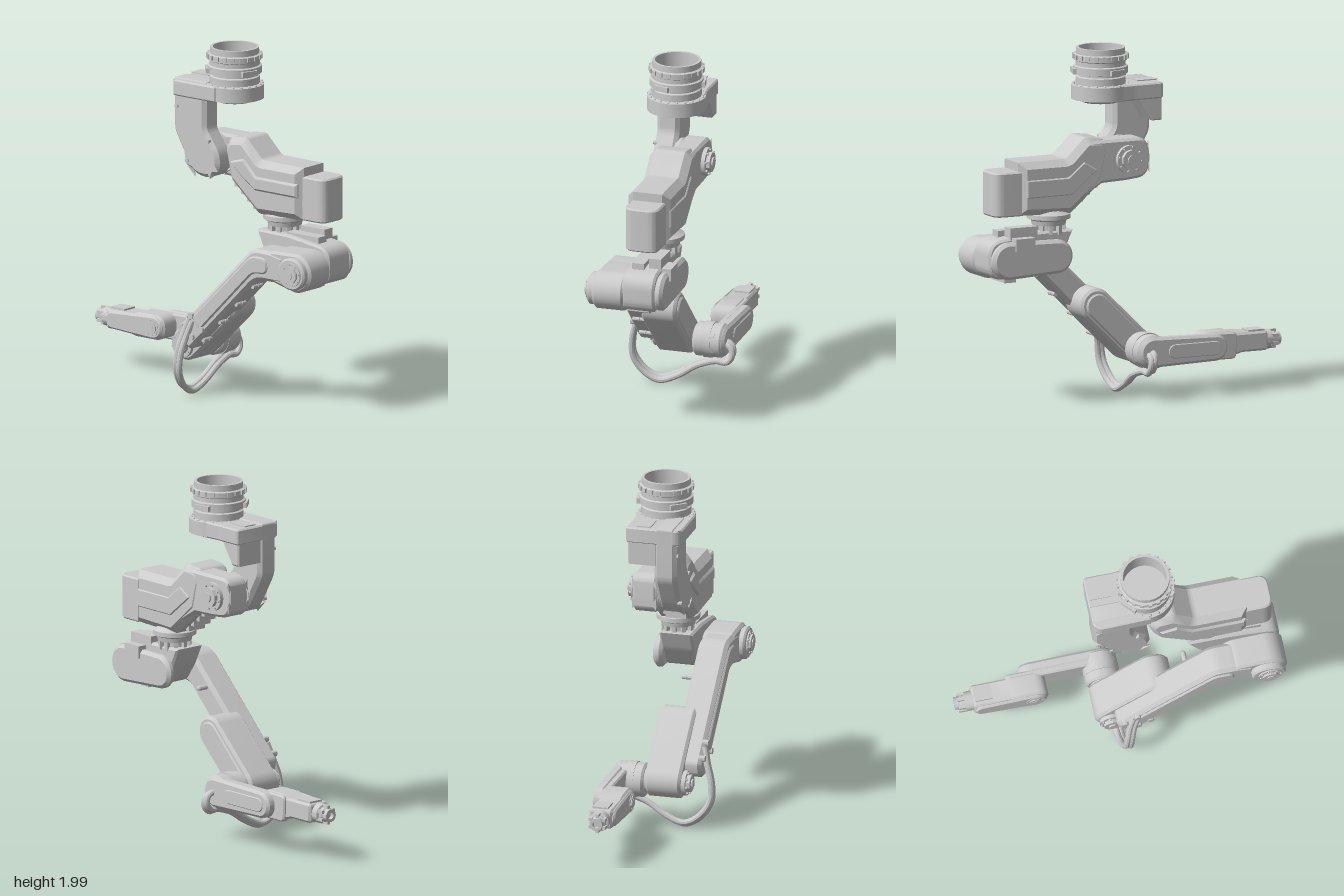
import * as THREE from 'three';
import { toCreasedNormals } from 'three/addons/utils/BufferGeometryUtils.js';

const mat = new THREE.MeshStandardMaterial({ color: 0xcccccc, side: THREE.DoubleSide });

function add(parent, name, geo, x = 0, y = 0, z = 0) {
  const m = new THREE.Mesh(toCreasedNormals(geo, 0.6), mat);
  m.name = name;
  m.position.set(x, y, z);
  parent.add(m);
  return m;
}

// Closed outline from [x, y, cornerCut] points, corners rounded
function outline(pts) {
  const s = new THREE.Shape();
  pts.forEach(([x, y, r = 0], i) => {
    const c = new THREE.Vector2(x, y);
    const p = new THREE.Vector2(...pts.at(i - 1).slice(0, 2));
    const n = new THREE.Vector2(...pts[(i + 1) % pts.length].slice(0, 2));
    const a = c.clone().add(p.sub(c).setLength(r));
    const b = c.clone().add(n.sub(c).setLength(r));
    i ? s.lineTo(a.x, a.y) : s.moveTo(a.x, a.y);
    if (r) s.quadraticCurveTo(x, y, b.x, b.y);
  });
  return s;
}

// Two circles joined by their outer tangents
function link(x1, y1, r1, x2, y2, r2) {
  const dir = Math.atan2(y2 - y1, x2 - x1);
  const t = Math.acos((r1 - r2) / Math.hypot(x2 - x1, y2 - y1));
  const s = new THREE.Shape();
  s.absarc(x1, y1, r1, dir + t, dir - t + Math.PI * 2, false);
  s.absarc(x2, y2, r2, dir - t, dir + t, false);
  return s;
}

// Outline extruded from z0 to z1 with bevelled rims
function slab(parent, name, shape, z0, z1, bevel = 0.012) {
  const geo = new THREE.ExtrudeGeometry(shape, {
    depth: z1 - z0 - 2 * bevel, bevelEnabled: bevel > 0, bevelSize: bevel, bevelThickness: bevel,
    bevelOffset: -bevel, bevelSegments: 1, curveSegments: 14,
  });
  return add(parent, name, geo, 0, 0, z0 + bevel);
}

const box = (p, name, x0, x1, y0, y1, z0, z1) =>
  add(p, name, new THREE.BoxGeometry(x1 - x0, y1 - y0, z1 - z0), (x0 + x1) / 2, (y0 + y1) / 2, (z0 + z1) / 2);

// Turned part about a vertical axis, profile as [radius, y]
const turned = (p, name, pts, x, z) =>
  add(p, name, new THREE.LatheGeometry(pts.map(q => new THREE.Vector2(...q)), 40), x, 0, z);

// Disc along z
function disc(p, name, x, y, r, z0, z1, sides = 32) {
  const geo = new THREE.CylinderGeometry(r, r, z1 - z0, sides).rotateX(Math.PI / 2);
  return add(p, name, geo, x, y, (z0 + z1) / 2);
}

// Hub cap with stepped rings and a circle of bolts, pushed out towards dir
function hubCap(p, name, x, y, r, z, h, dir) {
  const g = new THREE.Group();
  g.name = name;
  const put = (part, px, py, rad, a, b, sides) =>
    disc(g, part, px, py, rad, Math.min(z + dir * a, z + dir * b), Math.max(z + dir * a, z + dir * b), sides);
  put('capRing', x, y, r, -0.01, h * 0.5, 32);
  put('capFace', x, y, r * 0.72, 0, h, 10);
  put('capCentre', x, y, r * 0.35, 0, h * 1.2, 16);
  for (let i = 0; i < 8; i++) {
    const a = i * Math.PI / 4 + 0.2;
    put('capBolt', x + Math.cos(a) * r * 0.86, y + Math.sin(a) * r * 0.86, r * 0.09, 0, h * 0.75, 8);
  }
  p.add(g);
}

export function createModel() {
  const root = new THREE.Group();
  root.name = 'robotArm';
  const part = name => {
    const g = new THREE.Group();
    g.name = name;
    root.add(g);
    return g;
  };

  // Hollow mounting collar at the top
  const collar = part('mountCollar');
  const bx = 0.15, bz = -0.02;
  turned(collar, 'collarBody', [[0, 1.69], [0.1, 1.69], [0.13, 1.705], [0.165, 1.71], [0.165, 1.79], [0.14, 1.795],
    [0.14, 1.835], [0.128, 1.84], [0.128, 1.85], [0.152, 1.855], [0.152, 1.895], [0.14, 1.9], [0.14, 1.925],
    [0.15, 1.93], [0.15, 1.96], [0.137, 1.965], [0.137, 2], [0.122, 2], [0.122, 1.86], [0, 1.86]], bx, bz);
  for (let i = 0; i < 20; i++) {
    const a = i * Math.PI / 10;
    const tooth = add(collar, 'collarTooth', new THREE.BoxGeometry(0.02, 0.025, 0.022),
      bx + Math.cos(a) * 0.148, 1.95, bz + Math.sin(a) * 0.148);
    tooth.rotation.y = -a;
    add(collar, 'collarBolt', new THREE.SphereGeometry(0.009, 8, 6),
      bx + Math.cos(a) * 0.152, 1.792, bz + Math.sin(a) * 0.152);
  }
  for (let i = 0; i < 3; i++) {
    const a = i * 2.1 + 0.3;
    const lug = add(collar, 'collarLug', new THREE.BoxGeometry(0.02, 0.03, 0.1),
      bx + Math.cos(a) * 0.153, 1.87, bz + Math.sin(a) * 0.153);
    lug.rotation.y = -a;
  }

  // Shoulder bracket: top plate, dropped leg and rounded pivot end
  const bracket = part('shoulderBracket');
  const plate = slab(bracket, 'bracketPlate', outline([[-0.175, -0.12, 0.03], [-0.14, -0.15, 0.02], [0.15, -0.145],
    [0.15, 0.185], [0, 0.17, 0.02], [-0.175, 0.17, 0.02]]), 0, 0.09, 0.008);
  plate.rotation.x = -Math.PI / 2;
  plate.position.y = 1.713;
  slab(bracket, 'bracketLeg', outline([[-0.175, 1.8, 0.01], [-0.175, 1.5, 0.03], [-0.065, 1.31, 0.05],
    [-0.02, 1.265, 0.05], [0.09, 1.255, 0.05], [0.155, 1.31, 0.05], [0.145, 1.41, 0.04], [0.055, 1.53, 0.03],
    [0.055, 1.8]]), 0, 0.13, 0.022);
  slab(bracket, 'bracketRib', outline([[-0.17, 1.75], [-0.17, 1.58], [-0.11, 1.58], [-0.02, 1.72]]), -0.15, 0.02, 0.008);
  slab(bracket, 'bracketPivot', link(0.03, 1.38, 0.11, 0.04, 1.37, 0.11), -0.02, 0.01, 0);
  box(bracket, 'bracketSensor', -0.075, -0.055, 1.735, 1.77, 0.1, 0.135);
  box(bracket, 'plateInset', -0.165, -0.04, 1.8, 1.806, -0.1, -0.02);
  for (const [x, y] of [[-0.145, 1.64], [0.08, 1.47], [-0.07, 1.34]]) disc(bracket, 'bracketBolt', x, y, 0.012, 0.11, 0.137, 12);

  // Upper arm: pivot hub at the back, bent faceted shell
  const upper = part('upperArm');
  slab(upper, 'upperArmHub', outline([[-0.09, 1.38, 0.07], [-0.08, 1.49, 0.06], [0.06, 1.49, 0.04], [0.3, 1.49],
    [0.36, 1.16], [0.2, 1.25], [0.05, 1.255, 0.04], [-0.09, 1.27, 0.07]]), -0.15, -0.01, 0.015);
  slab(upper, 'upperArmShell', outline([[0.15, 1.43, 0.02], [0.19, 1.5, 0.02], [0.3, 1.512, 0.02], [0.415, 1.4, 0.02],
    [0.715, 1.4], [0.715, 1.1], [0.39, 1.09, 0.02], [0.19, 1.26, 0.02]]), -0.155, 0.09, 0.038);
  slab(upper, 'upperArmSidePanel', outline([[0.21, 1.37], [0.31, 1.4], [0.4, 1.31], [0.7, 1.31], [0.7, 1.23],
    [0.39, 1.23], [0.3, 1.29]]), 0.07, 0.102, 0.012);
  slab(upper, 'upperArmBackPanel', outline([[0.24, 1.33], [0.4, 1.2], [0.68, 1.2], [0.68, 1.3], [0.42, 1.3],
    [0.32, 1.38]]), -0.162, -0.13, 0.006);
  hubCap(upper, 'shoulderCap', 0.04, 1.375, 0.08, -0.15, 0.045, -1);
  for (let i = 0; i < 4; i++) box(upper, 'upperArmClip', 0.2 + i * 0.045, 0.225 + i * 0.045, 1.215 - i * 0.036, 1.25 - i * 0.036, -0.08, 0.04);

  // Rounded motor housing at the end of the upper arm
  const motor = part('upperMotor');
  const can = slab(motor, 'motorCan', outline([[0.7, -0.05], [0.865, -0.05, 0.06], [0.865, 0.145, 0.06], [0.7, 0.145]]), 0, 0.25, 0.008);
  can.rotation.x = -Math.PI / 2;
  can.position.y = 1.108;
  box(motor, 'motorLatch', 0.69, 0.725, 1.18, 1.21, -0.1, 0.06);

  // Turning joint under the upper arm
  const swivel = part('elbowSwivel');
  turned(swivel, 'swivelBody', [[0, 1.17], [0.06, 1.17], [0.075, 1.12], [0.11, 1.095], [0.122, 1.09], [0.122, 1.065],
    [0.1, 1.055], [0.095, 1.03], [0.07, 1.025], [0.07, 0.95], [0, 0.95]], 0.49, -0.05);
  for (let i = 0; i < 10; i++) {
    const a = i * Math.PI / 5;
    const rib = add(swivel, 'swivelRib', new THREE.BoxGeometry(0.03, 0.05, 0.022),
      0.49 + Math.cos(a) * 0.078, 1.005, -0.05 + Math.sin(a) * 0.078);
    rib.rotation.y = -a;
  }

  // Elbow housing behind the forearm
  const elbow = part('elbowHousing');
  slab(elbow, 'elbowBody', outline([[0.375, 1], [0.42, 0.9, 0.02], [0.5, 0.78, 0.04], [0.62, 0.75], [0.9, 0.75, 0.08],
    [0.9, 0.96, 0.08], [0.72, 0.985], [0.6, 1]]), -0.13, 0.06, 0.012);
  slab(elbow, 'elbowBackCover', link(0.49, 0.86, 0.095, 0.79, 0.855, 0.105), -0.175, -0.12, 0.018);
  box(elbow, 'elbowTopBlock', 0.6, 0.77, 0.97, 1.035, -0.13, -0.06);
  box(elbow, 'elbowBackBox', 0.64, 0.76, 0.91, 0.98, -0.185, -0.12);
  box(elbow, 'elbowTopRail', 0.57, 0.8, 0.96, 1.01, -0.04, 0.03);
  box(elbow, 'elbowFoot', 0.7, 0.77, 0.715, 0.76, -0.06, 0.12);

  // Forearm: round elbow hub, long sloping beam, deeper lower half
  const fore = part('forearm');
  slab(fore, 'forearmHub', link(0.8, 0.84, 0.11, 0.65, 0.855, 0.09), 0.05, 0.235, 0.015);
  slab(fore, 'forearmHubRim', link(0.805, 0.84, 0.09, 0.79, 0.84, 0.09), 0.22, 0.27, 0.01);
  hubCap(fore, 'elbowCap', 0.805, 0.84, 0.068, 0.265, 0.025, 1);
  slab(fore, 'forearmBeam', outline([[0.72, 0.92], [0.62, 0.94, 0.03], [0.49, 0.94, 0.05], [-0.06, 0.4, 0.02],
    [-0.05, 0.33, 0.02], [0.04, 0.29, 0.02], [0.52, 0.765, 0.05], [0.72, 0.765]]), 0.07, 0.24, 0.02);
  slab(fore, 'forearmRidge', outline([[0.6, 0.9, 0.04], [0.49, 0.9, 0.04], [0.06, 0.48], [0.12, 0.42], [0.5, 0.8, 0.03],
    [0.61, 0.81, 0.04]]), 0.23, 0.25, 0.008);
  slab(fore, 'forearmLowerBox', link(-0.07, 0.295, 0.095, 0.19, 0.545, 0.095), -0.055, 0.15, 0.015);
  slab(fore, 'forearmBackPlate', link(-0.05, 0.31, 0.07, 0.185, 0.54, 0.07), -0.065, -0.04, 0.008);
  hubCap(fore, 'wristFrontCap', -0.075, 0.29, 0.07, 0.15, 0.045, 1);
  for (let i = 0; i < 4; i++) {
    const x = 0.1 + i * 0.12;
    const stud = disc(fore, 'beamStud', x + 0.012, x + 0.252, 0.013, 0.09, 0.21, 10);
    stud.scale.set(1, 1, 0.3);
    disc(fore, 'beamPin', x + 0.012, x + 0.252, 0.013, 0.17, 0.21, 10);
  }
  for (const [x, y] of [[-0.015, 0.42], [0.055, 0.49], [0.06, 0.37], [0.13, 0.42]]) disc(fore, 'beamBolt', x, y, 0.018, 0.22, 0.255, 12);
  const backPin = add(fore, 'beamBackPin', new THREE.CapsuleGeometry(0.014, 0.08, 4, 10), 0.36, 0.76, 0.06);
  backPin.rotation.x = Math.PI / 2;

  // Wrist drum and first hand link
  const wrist = part('wrist');
  disc(wrist, 'wristNeck', -0.075, 0.29, 0.075, -0.08, -0.04);
  slab(wrist, 'wristDrum', link(-0.08, 0.285, 0.095, -0.07, 0.285, 0.095), -0.235, -0.065, 0.012);
  disc(wrist, 'wristBand', -0.075, 0.285, 0.102, -0.17, -0.12);
  slab(wrist, 'wristLink', outline([[0.02, 0.36, 0.06], [0.02, 0.21, 0.06], [-0.61, 0.205, 0.03], [-0.615, 0.355, 0.03]]), -0.2, -0.16, 0.008);
  slab(wrist, 'wristLinkCover', link(-0.07, 0.285, 0.085, -0.46, 0.285, 0.075), -0.25, -0.185, 0.015);
  slab(wrist, 'wristLinkInset', link(-0.2, 0.285, 0.04, -0.45, 0.285, 0.04), -0.256, -0.24, 0.004);

  // Second hand link and stepped tool tip
  const hand = part('hand');
  slab(hand, 'handLink', outline([[-0.39, 0.36, 0.07], [-0.39, 0.22, 0.07], [-0.6, 0.22], [-0.66, 0.235], [-0.815, 0.235, 0.02],
    [-0.815, 0.345, 0.02], [-0.62, 0.345], [-0.58, 0.36]]), -0.185, -0.05, 0.012);
  slab(hand, 'handCover', link(-0.465, 0.29, 0.065, -0.76, 0.29, 0.05), -0.06, -0.037, 0.01);
  hubCap(hand, 'handPivotCap', -0.47, 0.29, 0.05, -0.04, 0.012, 1);
  box(hand, 'handTopBlock', -0.8, -0.7, 0.33, 0.355, -0.17, -0.08);
  const tip = new THREE.Group();
  tip.name = 'toolTip';
  tip.position.set(-0.8, 0.288, -0.115);
  tip.rotation.z = Math.PI / 2;
  hand.add(tip);
  turned(tip, 'tipBody', [[0, 0], [0.055, 0], [0.055, 0.055], [0.042, 0.06], [0.042, 0.08], [0.036, 0.085],
    [0.036, 0.115], [0.02, 0.115], [0.02, 0.09], [0, 0.09]], 0, 0);
  for (let i = 0; i < 6; i++) {
    const a = i * Math.PI / 3;
    add(tip, 'tipLug', new THREE.BoxGeometry(0.018, 0.05, 0.018), Math.cos(a) * 0.045, 0.07, Math.sin(a) * 0.045);
  }

  // Cables looping below the wrist from front to back
  const cables = part('cables');
  for (const [dx, dy] of [[0.008, 0], [-0.014, 0.012]]) {
    const path = [[0.05, 0.46, 0.235], [0.025, 0.38, 0.255], [0.005, 0.27, 0.285], [-0.005, 0.17, 0.285], [-0.02, 0.08, 0.23],
      [-0.03, 0.032, 0.14], [-0.03, 0.07, 0.03], [-0.03, 0.14, -0.08], [-0.04, 0.175, -0.19], [-0.04, 0.172, -0.25],
      [-0.04, 0.21, -0.283], [-0.045, 0.26, -0.275], [-0.05, 0.28, -0.22]];
    const curve = new THREE.CatmullRomCurve3(path.map(([x, y, z]) => new THREE.Vector3(x + dx, y + dy, z)));
    add(cables, 'cable', new THREE.TubeGeometry(curve, 70, 0.018, 10));
  }
  return root;
}
